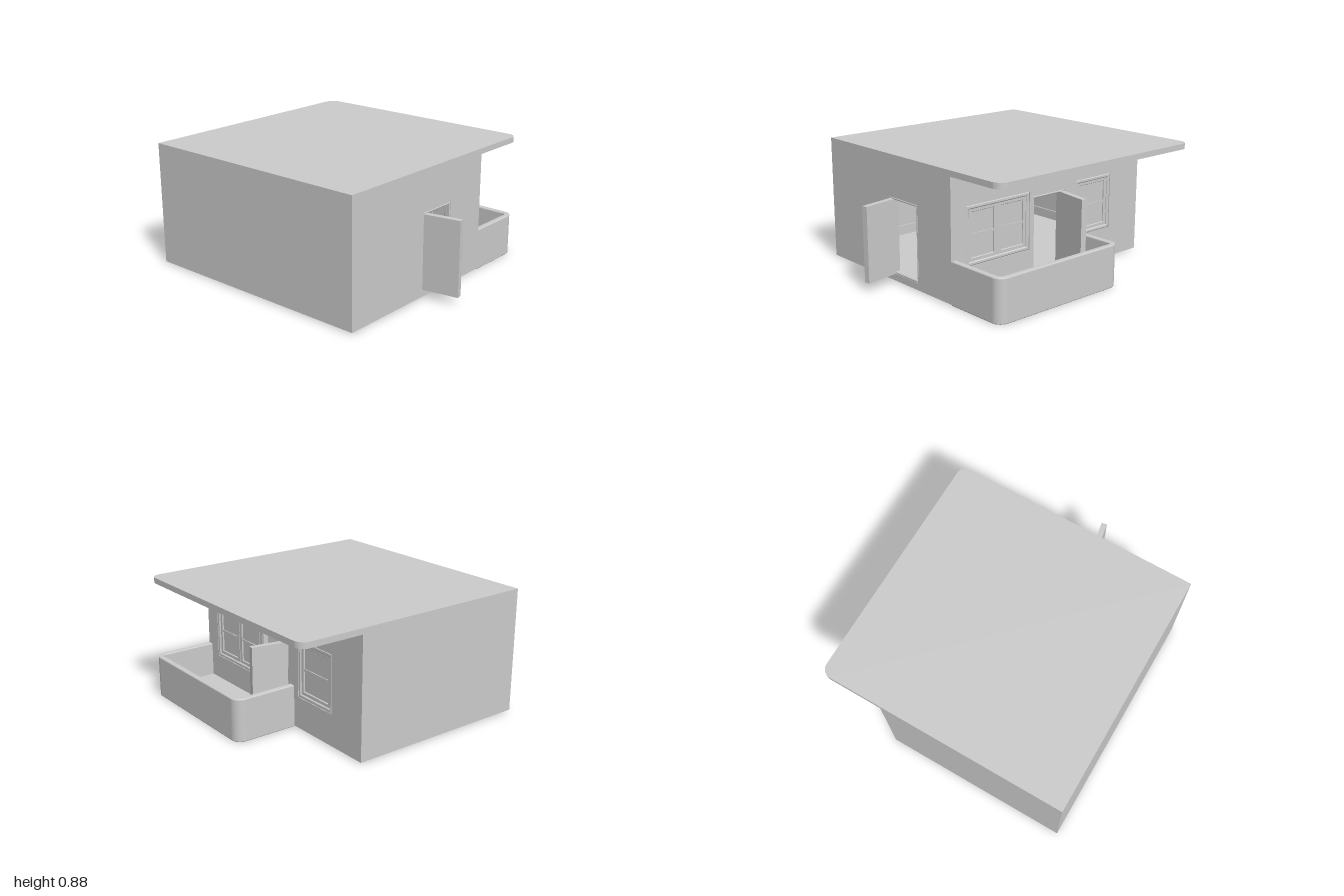
import * as THREE from 'three';

const material = new THREE.MeshStandardMaterial({ color: 0xcccccc, flatShading: false });
const WALL = 0.04, FLOOR = 0.05, TOP = 0.87, EAVE = 0.83;
const LEFT = -0.89, RIGHT = 0.44, EDGE = 0.89, BACK = -1, FRONT = 0.75;

function mesh(name, geometry, parent) {
  const m = new THREE.Mesh(geometry, material);
  m.name = name;
  parent.add(m);
  return m;
}

// box given by its minimum and maximum corners
function box(name, parent, x0, x1, y0, y1, z0, z1) {
  const m = mesh(name, new THREE.BoxGeometry(x1 - x0, y1 - y0, z1 - z0), parent);
  m.position.set((x0 + x1) / 2, (y0 + y1) / 2, (z0 + z1) / 2);
  return m;
}

function rect(Type, x0, x1, y0, y1) {
  const s = new Type();
  s.moveTo(x0, y0).lineTo(x1, y0).lineTo(x1, y1).lineTo(x0, y1).closePath();
  return s;
}

// plan outline with both corners on the +x side rounded; plan y is -z
function roundedPlan(Type, x0, x1, z0, z1, r) {
  const s = new Type();
  s.moveTo(x0, -z1);
  s.lineTo(x1 - r, -z1).absarc(x1 - r, -z1 + r, r, -Math.PI / 2, 0, false);
  s.lineTo(x1, -z0 - r).absarc(x1 - r, -z0 - r, r, 0, Math.PI / 2, false);
  s.lineTo(x0, -z0).closePath();
  return s;
}

function extrudeUp(name, parent, shape, y0, y1, bevel = 0) {
  const g = new THREE.ExtrudeGeometry(shape, {
    depth: y1 - y0 - bevel, curveSegments: 10, bevelEnabled: bevel > 0,
    bevelSize: bevel, bevelThickness: bevel, bevelOffset: -bevel, bevelSegments: 3,
  });
  g.rotateX(-Math.PI / 2);
  const m = mesh(name, g, parent);
  m.position.y = y0;
  return m;
}

// wall in the local xy plane, outer face at z = 0, openings as [x0, x1, y0, y1]
function wall(name, parent, x0, x1, openings) {
  const s = rect(THREE.Shape, x0, x1, 0, EAVE);
  openings.forEach((o) => s.holes.push(rect(THREE.Path, ...o)));
  const g = new THREE.ExtrudeGeometry(s, { depth: WALL, bevelEnabled: false });
  g.translate(0, 0, -WALL);
  return mesh(name, g, parent);
}

// rectangular ring whose inner edge is chamfered by c, front at z
function frame(name, parent, [x0, x1, y0, y1], width, z, depth, c) {
  const s = rect(THREE.Shape, x0 + c, x1 - c, y0 + c, y1 - c);
  s.holes.push(rect(THREE.Path, x0 + width, x1 - width, y0 + width, y1 - width));
  const g = new THREE.ExtrudeGeometry(s, {
    depth: depth - 2 * c, bevelEnabled: true, bevelSize: c, bevelThickness: c, bevelSegments: 1,
  });
  g.translate(0, 0, z - depth + c);
  return mesh(name, g, parent);
}

// recessed window with one or more sashes of two panes each
function windowUnit(name, parent, opening, sashes) {
  const group = new THREE.Group();
  group.name = name;
  parent.add(group);
  const [x0, x1, y0, y1] = opening;
  frame('windowFrame', group, opening, 0.02, 0, WALL, 0.006);
  const a = x0 + 0.018, w = (x1 - x0 - 0.036) / sashes;
  for (let i = 0; i < sashes; i++) {
    const s0 = a + i * w, s1 = s0 + w;
    frame('sash', group, [s0, s1, y0 + 0.018, y1 - 0.018], 0.028, -0.01, 0.022, 0.003);
    const mid = (y0 + y1) / 2;
    box('glazingBar', group, s0 + 0.02, s1 - 0.02, mid - 0.008, mid + 0.008, -0.03, -0.013);
    box('pane', group, s0 + 0.01, s1 - 0.01, y0 + 0.03, y1 - 0.03, -0.027, -0.02);
  }
}

// open door hinged on one side; dir = +1 hinges at x0, -1 at x1
function doorUnit(name, parent, opening, dir) {
  const group = new THREE.Group();
  group.name = name;
  parent.add(group);
  frame('doorFrame', group, opening, 0.01, 0, WALL, 0.004);
  const hinge = new THREE.Group();
  hinge.name = 'hinge';
  hinge.position.set(dir > 0 ? opening[0] : opening[1], 0, -0.035);
  hinge.rotation.y = dir * THREE.MathUtils.degToRad(10);
  group.add(hinge);
  const leaf = box('doorLeaf', hinge, 0, 0.04, opening[2], opening[3] - 0.01, 0, 0.29);
  leaf.position.x = dir * 0.02;
}

export function createModel() {
  const model = new THREE.Group();
  model.name = 'house';

  // floor slab under house and porch
  box('houseFloor', model, LEFT + 0.002, RIGHT - 0.002, 0, FLOOR, BACK + 0.002, FRONT - 0.002);
  extrudeUp('porchFloor', model, roundedPlan(THREE.Shape, RIGHT - 0.01, EDGE - 0.005, -0.305, FRONT - 0.005, 0.065), 0, FLOOR);

  // plain back and left walls
  box('backWall', model, LEFT, RIGHT, 0, EAVE, BACK, BACK + WALL);
  box('leftWall', model, LEFT, LEFT + WALL, 0, EAVE, BACK + WALL, FRONT - WALL);

  // front wall with door
  const front = new THREE.Group();
  front.name = 'frontSide';
  front.position.z = FRONT;
  model.add(front);
  const frontDoor = [-0.2, 0.1, FLOOR, 0.58];
  wall('frontWall', front, LEFT, RIGHT, [frontDoor]);
  doorUnit('frontDoor', front, frontDoor, 1);

  // porch-side wall with door and windows; its local x runs towards -z
  const side = new THREE.Group();
  side.name = 'porchSide';
  side.position.x = RIGHT;
  side.rotation.y = Math.PI / 2;
  model.add(side);
  const porchDoor = [-0.05, 0.25, FLOOR, 0.58];
  const wide = [-0.625, -0.08, 0.22, 0.62], small = [0.355, 0.705, 0.22, 0.62];
  wall('porchWall', side, -FRONT + WALL, -BACK - WALL, [wide, porchDoor, small]);
  doorUnit('porchDoor', side, porchDoor, -1);
  windowUnit('wideWindow', side, wide, 2);
  windowUnit('smallWindow', side, small, 1);

  // skirting inside the room
  box('backSkirting', model, LEFT + WALL, RIGHT - WALL, FLOOR, 0.12, BACK + WALL, BACK + WALL + 0.012);
  box('leftSkirting', model, LEFT + WALL, LEFT + WALL + 0.012, FLOOR, 0.12, BACK + WALL, FRONT - WALL);

  // low parapet around the porch, open towards the house
  const t = 0.04, r = 0.07;
  const plan = new THREE.Shape();
  plan.moveTo(RIGHT, -FRONT);
  plan.lineTo(EDGE - r, -FRONT).absarc(EDGE - r, -FRONT + r, r, -Math.PI / 2, 0, false);
  plan.lineTo(EDGE, 0.31 - r).absarc(EDGE - r, 0.31 - r, r, 0, Math.PI / 2, false);
  plan.lineTo(RIGHT, 0.31).lineTo(RIGHT, 0.31 - t);
  plan.lineTo(EDGE - r, 0.31 - t).absarc(EDGE - r, 0.31 - r, r - t, Math.PI / 2, 0, true);
  plan.lineTo(EDGE - t, -FRONT + r).absarc(EDGE - r, -FRONT + r, r - t, 0, -Math.PI / 2, true);
  plan.lineTo(RIGHT, -FRONT + t).closePath();
  extrudeUp('porchParapet', model, plan, 0, 0.29, 0.008);

  // flat roof reaching out over the porch
  extrudeUp('roof', model, roundedPlan(THREE.Shape, LEFT, EDGE, BACK, FRONT, r), EAVE, TOP);

  return model;
}
